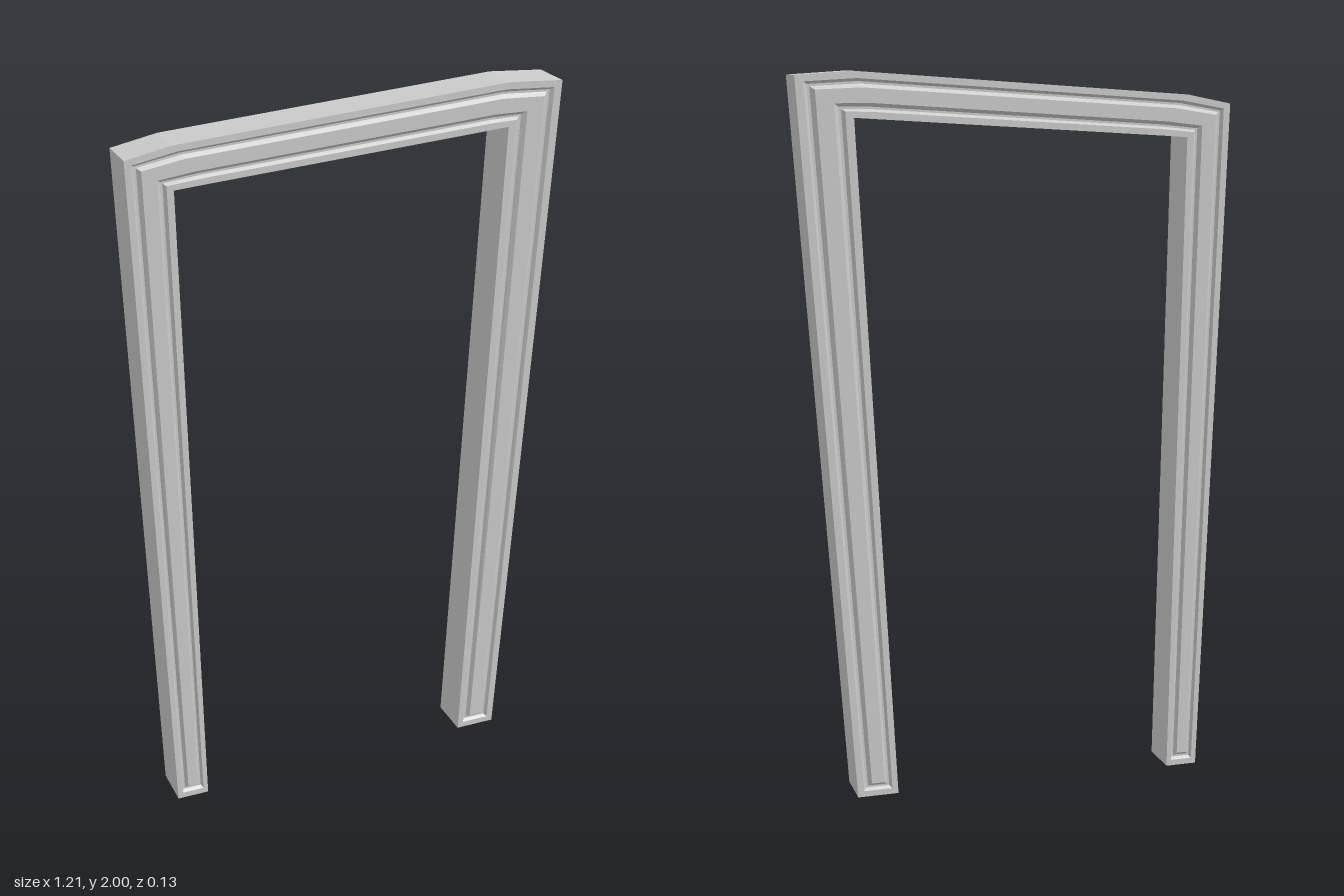
import * as THREE from 'three';

// Stations along the crooked frame, left foot to right foot: [outer x, y, inner x, y]
const STATIONS = [
  [-0.54, 0, -0.45, 0],
  [-0.605, 1.91, -0.48, 1.82],
  [-0.48, 1.935, -0.39, 1.826],
  [0.45, 2.0, 0.39, 1.876],
  [0.605, 1.99, 0.45, 1.88],
  [0.47, 0.01, 0.355, 0.01],
];
const FOOT_INSET = 0.11;

// Closed outline of the frame, inset by fraction t of its width (0.5 = centre line)
function ring(t, z) {
  const side = (f) => STATIONS.map(([ox, oy, ix, iy], i) => {
    const p = new THREE.Vector3(ox + (ix - ox) * f, oy + (iy - oy) * f, z);
    const isFoot = i === 0 || i === STATIONS.length - 1;
    if (isFoot) p.y += t * FOOT_INSET;
    return p;
  });
  return [...side(t), ...side(1 - t).reverse()];
}

// Skin a [inset, z] profile into a flat-shaded surface
function skin(name, profile, material) {
  const rings = profile.map(([t, z]) => ring(t, z));
  const points = [];
  for (let i = 0; i < rings.length - 1; i++) {
    const n = rings[i].length;
    for (let j = 0; j < n; j++) {
      const k = (j + 1) % n;
      const a = rings[i][j], b = rings[i][k];
      const c = rings[i + 1][k], d = rings[i + 1][j];
      points.push(a, b, c, a, c, d);
    }
  }
  const geometry = new THREE.BufferGeometry().setFromPoints(points);
  geometry.computeVertexNormals();
  const mesh = new THREE.Mesh(geometry, material);
  mesh.name = name;
  return mesh;
}

export function createModel() {
  const group = new THREE.Group();
  group.name = 'crookedDoorFrame';
  const material = new THREE.MeshStandardMaterial({ color: 0xcccccc, flatShading: true });

  // Half profiles from the centre of the face outwards
  const panel = [[0.5, 0.063], [0.34, 0.063], [0.26, 0.052]];
  const rim = [[0.26, 0.052], [0.21, 0.052], [0.15, 0.061], [0, 0.061]];
  const back = (profile) => profile.map(([t, z]) => [t, -z]).reverse();

  // Frame body with grooved rims on both faces
  group.add(skin('frameBody', [...rim, ...back(rim)], material));

  // Raised panel strips on both faces
  group.add(skin('frontPanel', panel, material));
  group.add(skin('backPanel', back(panel), material));

  return group;
}
